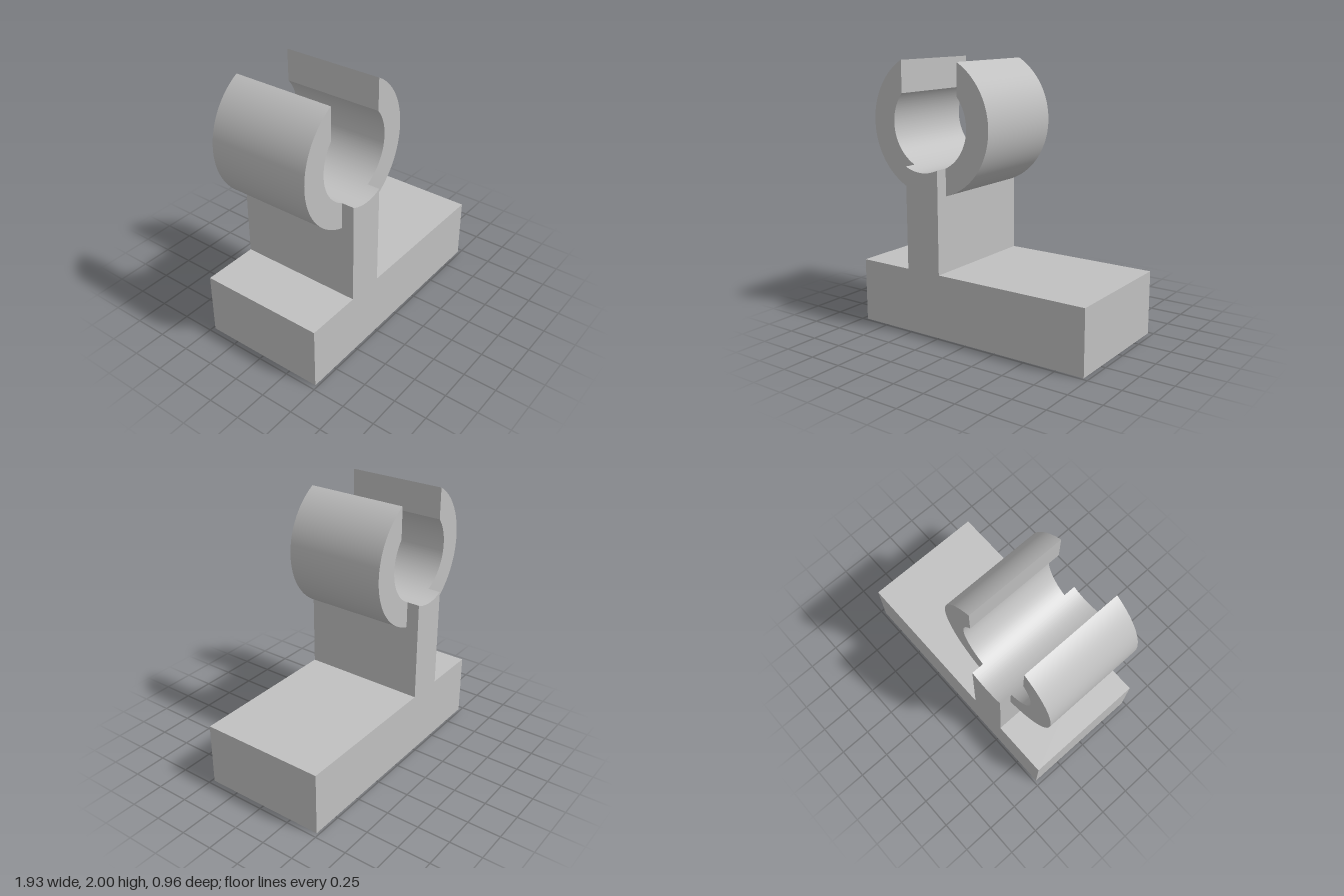
import * as THREE from 'three';
import { toCreasedNormals } from 'three/addons/utils/BufferGeometryUtils.js';

const CX = -0.386, CY = 1.546;           // clamp axis
const R_OUT = 0.519, R_IN = 0.331;       // clamp radii
const POST = 0.1445, SLOT = 0.252;       // half widths of post and top slot
const BASE_X = 0.963, BASE_Y = 0.4815, DEPTH = 0.963, CLAMP_DEPTH = 0.77;
const BORE_X = 0.48, BORE_R = 0.097, BORE_DEPTH = 0.385;

// Extrude a shape along z, centred, with smooth curves and sharp edges
function extrude(shape, depth) {
  const geo = new THREE.ExtrudeGeometry(shape, { depth, bevelEnabled: false, curveSegments: 48 });
  geo.translate(0, 0, -depth / 2);
  return toCreasedNormals(geo, 0.5);
}

// One jaw of the open ring, from the post side up to the slot
function jawShape(side) {
  const angle = (a) => (side > 0 ? a : Math.PI - a);
  const shape = new THREE.Shape();
  shape.absarc(CX, CY, R_OUT, angle(Math.acos(SLOT / R_OUT)), angle(-Math.acos(POST / R_OUT)), side > 0);
  shape.absarc(CX, CY, R_IN, angle(-Math.acos(POST / R_IN)), angle(Math.acos(SLOT / R_IN)), side < 0);
  shape.closePath();
  return shape;
}

export function createModel() {
  const group = new THREE.Group();
  const grey = new THREE.MeshStandardMaterial({ color: 0xc0c0c0 });
  grey.name = 'grey';
  const add = (name, geo) => {
    const mesh = new THREE.Mesh(geo, grey);
    mesh.name = name;
    group.add(mesh);
    return mesh;
  };

  // Lower base slab with the round bore in its underside
  const slab = new THREE.Shape();
  slab.moveTo(-BASE_X, -DEPTH / 2);
  slab.lineTo(BASE_X, -DEPTH / 2);
  slab.lineTo(BASE_X, DEPTH / 2);
  slab.lineTo(-BASE_X, DEPTH / 2);
  slab.closePath();
  const bore = new THREE.Path();
  bore.absarc(BORE_X, 0, BORE_R, 0, Math.PI * 2, true);
  slab.holes.push(bore);
  const slabGeo = extrude(slab, BORE_DEPTH);
  slabGeo.rotateX(-Math.PI / 2);
  slabGeo.translate(0, BORE_DEPTH / 2, 0);
  add('boredBase', slabGeo);

  // Upper base and post in one profile, hollowed at the top to seat the rod
  const tee = new THREE.Shape();
  const seat = Math.acos(POST / R_IN);
  tee.moveTo(-BASE_X, BORE_DEPTH);
  tee.lineTo(BASE_X, BORE_DEPTH);
  tee.lineTo(BASE_X, BASE_Y);
  tee.lineTo(CX + POST, BASE_Y);
  tee.absarc(CX, CY, R_IN, -seat, seat - Math.PI, true);
  tee.lineTo(CX - POST, BASE_Y);
  tee.lineTo(-BASE_X, BASE_Y);
  tee.closePath();
  add('baseAndPost', extrude(tee, DEPTH));

  // Two jaws of the clamp
  add('leftJaw', extrude(jawShape(1), CLAMP_DEPTH));
  add('rightJaw', extrude(jawShape(-1), CLAMP_DEPTH));

  return group;
}
